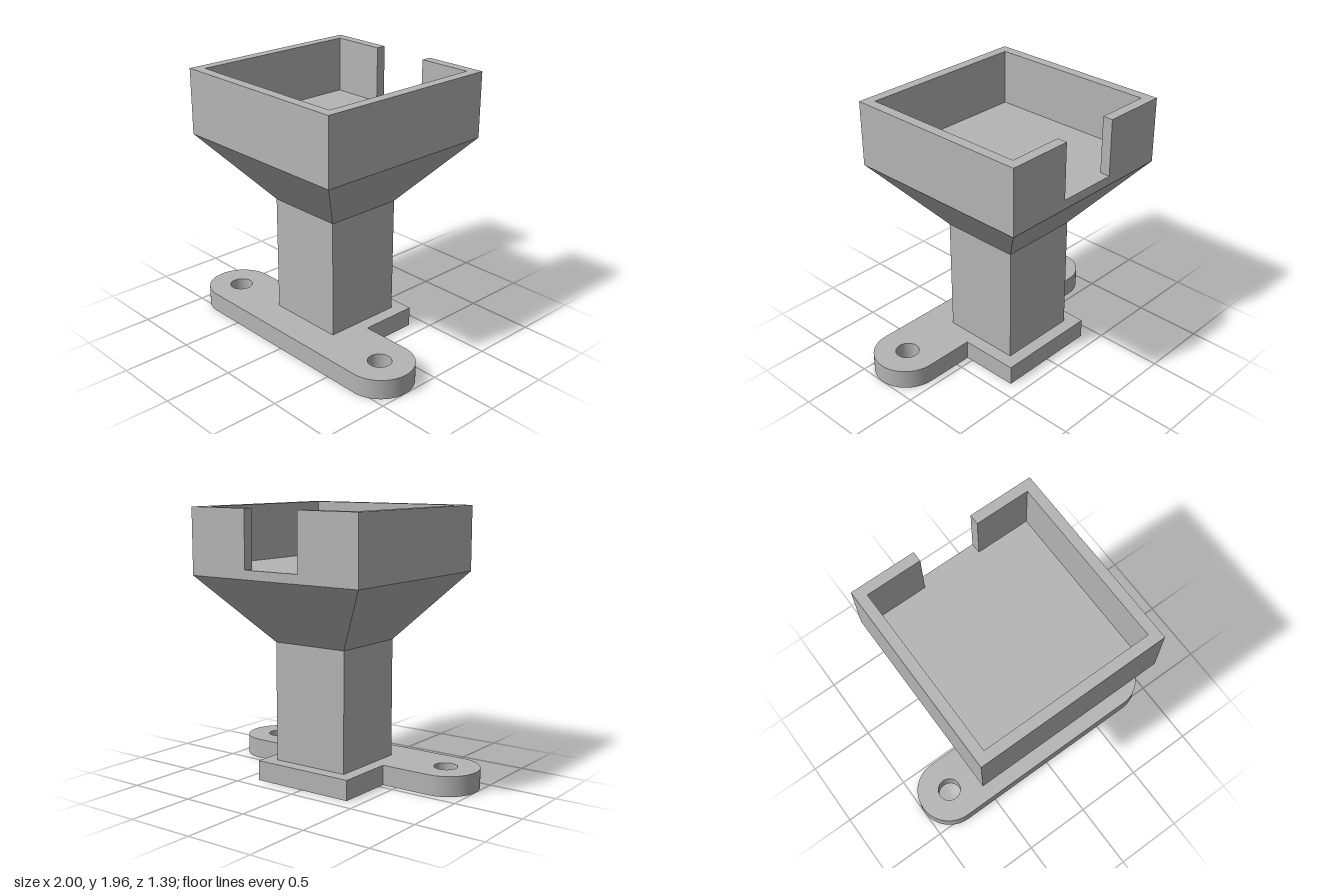
import * as THREE from 'three';
import { toCreasedNormals } from 'three/addons/utils/BufferGeometryUtils.js';

export function createModel() {
  const model = new THREE.Group();
  const grey = new THREE.MeshStandardMaterial({ color: 0xb4b4b4 });
  grey.name = 'plain grey';

  const add = (name, geometry) => {
    const mesh = new THREE.Mesh(geometry, grey);
    mesh.name = name;
    model.add(mesh);
  };

  // Extrudes a plan drawn in (x, z) from height y0 up to y1.
  const slab = (shape, y0, y1) => {
    const g = new THREE.ExtrudeGeometry(shape, { depth: y1 - y0, bevelEnabled: false, curveSegments: 32 });
    g.rotateX(Math.PI / 2).translate(0, y1, 0);
    return toCreasedNormals(g, 0.6);
  };

  const box = (size, y0, y1) =>
    new THREE.BoxGeometry(size, y1 - y0, size).translate(0, (y0 + y1) / 2, 0);

  const baseTop = 0.145, neck = 1.005, trayBase = 1.485, floor = 1.55, top = 1.955;
  const column = 0.295, outer = 0.697, inner = 0.623, notch = 0.222;

  // Base plate: rounded bar with two screw holes and a square tab at the back
  const earX = 0.757, earZ = 0.29, earR = 0.243, tab = 0.39;
  const base = new THREE.Shape();
  base.absarc(earX, earZ, earR, -Math.PI / 2, Math.PI / 2, false);
  base.absarc(-earX, earZ, earR, Math.PI / 2, Math.PI * 1.5, false);
  for (const [x, z] of [[-tab, earZ - earR], [-tab, -tab], [tab, -tab], [tab, earZ - earR]]) base.lineTo(x, z);
  base.closePath();
  for (const side of [-1, 1]) {
    base.holes.push(new THREE.Path().absarc(side * earX, earZ, 0.084, 0, Math.PI * 2, true));
  }
  add('basePlate', slab(base, 0, baseTop));

  // Square column
  add('column', box(column * 2, baseTop, neck));

  // Flared transition from column to tray
  const flare = new THREE.CylinderGeometry(outer * Math.SQRT2, column * Math.SQRT2, trayBase - neck, 4, 1, true)
    .rotateY(Math.PI / 4)
    .translate(0, (neck + trayBase) / 2, 0)
    .toNonIndexed();
  flare.computeVertexNormals();
  add('flare', flare);

  // Tray floor and the wall around it, open at the back notch
  add('trayFloor', box(outer * 2, trayBase, floor));
  const wall = new THREE.Shape([
    [-notch, -outer], [-notch, -inner], [-inner, -inner], [-inner, inner],
    [inner, inner], [inner, -inner], [notch, -inner], [notch, -outer],
    [outer, -outer], [outer, outer], [-outer, outer], [-outer, -outer],
  ].map(([x, z]) => new THREE.Vector2(x, z)));
  add('trayWall', slab(wall, floor, top));

  return model;
}
